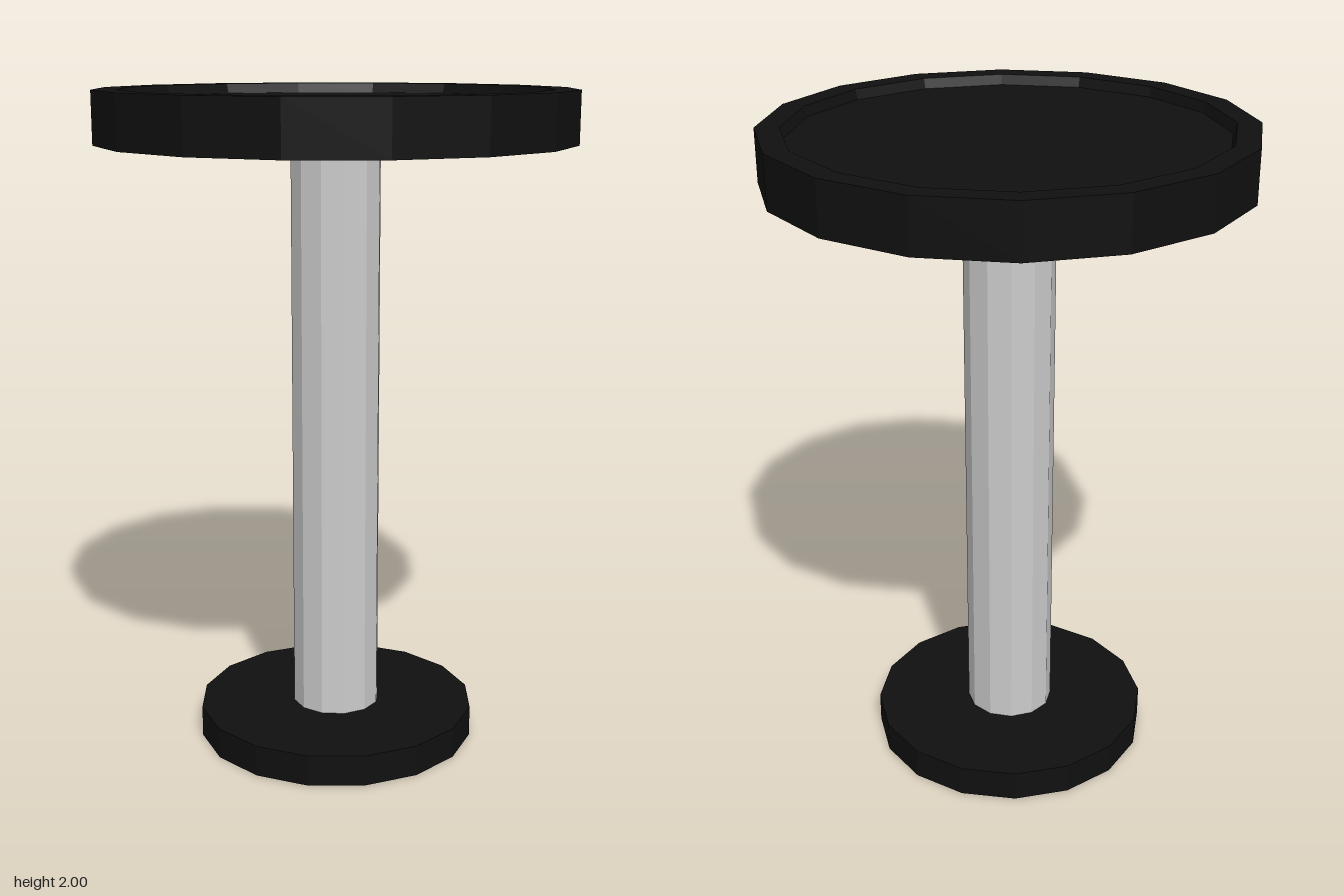
import * as THREE from 'three';

export function createModel() {
  const group = new THREE.Group();
  const black = new THREE.MeshStandardMaterial({ color: 0x101010, flatShading: true });
  const grey = new THREE.MeshStandardMaterial({ color: 0xcccccc, flatShading: true });

  const add = (name, geometry, material, y = 0) => {
    const mesh = new THREE.Mesh(geometry, material);
    mesh.name = name;
    mesh.position.y = y;
    group.add(mesh);
  };

  // Round foot plate
  add('base', new THREE.CylinderGeometry(0.43, 0.43, 0.095, 16), black, 0.0475);

  // Twelve-sided column, its ends buried in the base and top
  add('column', new THREE.CylinderGeometry(0.135, 0.135, 1.8, 12), grey, 0.97);

  // Round top with a raised rim around a shallow recess
  const profile = [
    [0, 1.845], [0.705, 1.845], [0.705, 2], [0.635, 2], [0.625, 1.97], [0, 1.97],
  ].map(([r, y]) => new THREE.Vector2(r, y));
  add('top', new THREE.LatheGeometry(profile, 16), black);

  return group;
}
